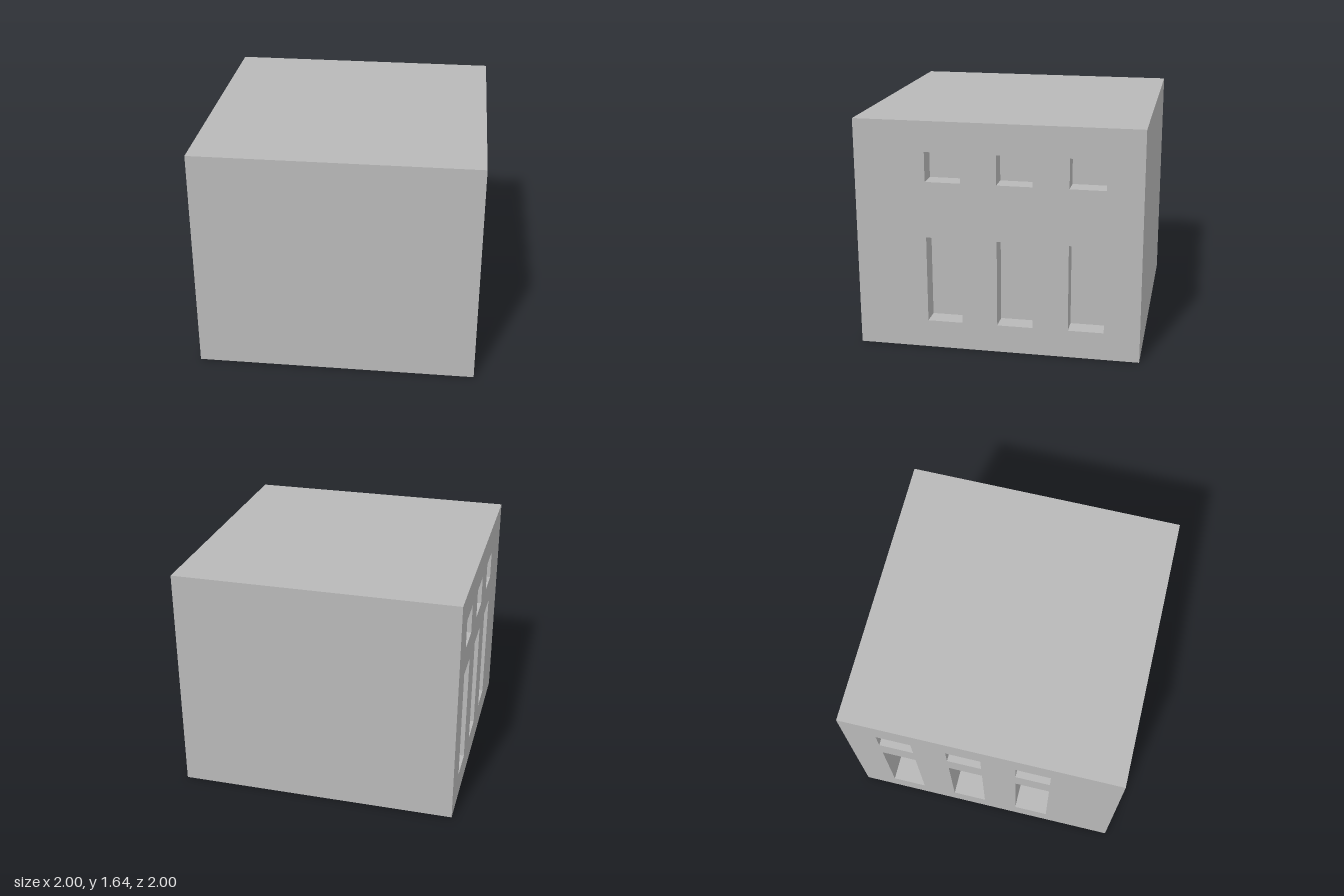
import * as THREE from 'three';

const H = 1.645;                                   // building height
const BAYS = [[0.25, 0.5], [-0.25, 0], [-0.75, -0.5]]; // z spans of the window columns

export function createModel() {
  const grey = new THREE.MeshStandardMaterial({ color: 0xb8b8b8, side: THREE.DoubleSide });
  grey.name = 'plain grey';
  const model = new THREE.Group();
  model.name = 'building';

  function plane(name, w, h, pos, rot, parent = model) {
    const mesh = new THREE.Mesh(new THREE.PlaneGeometry(w, h), grey);
    mesh.name = name;
    mesh.position.set(...pos);
    mesh.rotation.set(...rot);
    parent.add(mesh);
  }

  // Thin shell, open underneath
  plane('frontWall', 2, H, [0, H / 2, 1], [0, 0, 0]);
  plane('backWall', 2, H, [0, H / 2, -1], [0, Math.PI, 0]);
  plane('roof', 2, 2, [0, H, 0], [-Math.PI / 2, 0, 0]);

  // Side wall with holes, each leading into a closed niche
  function sideWall(name, side, depth, rows) {
    const wall = new THREE.Group();
    wall.name = name;
    // Local x runs along the wall, local z points outwards
    wall.position.x = side;
    wall.rotation.y = side * Math.PI / 2;
    const shape = new THREE.Shape([[-1, 0], [1, 0], [1, H], [-1, H]].map(p => new THREE.Vector2(...p)));
    for (const [z0, z1] of BAYS) {
      for (const [y0, y1] of rows) {
        const a = Math.min(-side * z0, -side * z1), b = Math.max(-side * z0, -side * z1);
        shape.holes.push(new THREE.Path([[a, y0], [a, y1], [b, y1], [b, y0]].map(p => new THREE.Vector2(...p))));
        const niche = new THREE.Group();
        niche.name = 'windowNiche';
        const w = b - a, h = y1 - y0, x = (a + b) / 2, y = (y0 + y1) / 2;
        plane('nicheBack', w, h, [x, y, -depth], [0, 0, 0], niche);
        plane('nicheSill', w, depth, [x, y0, -depth / 2], [-Math.PI / 2, 0, 0], niche);
        plane('nicheHead', w, depth, [x, y1, -depth / 2], [Math.PI / 2, 0, 0], niche);
        plane('nicheReveal', depth, h, [a, y, -depth / 2], [0, Math.PI / 2, 0], niche);
        plane('nicheReveal', depth, h, [b, y, -depth / 2], [0, -Math.PI / 2, 0], niche);
        wall.add(niche);
      }
    }
    const face = new THREE.Mesh(new THREE.ShapeGeometry(shape), grey);
    face.name = name + 'Face';
    wall.add(face);
    model.add(wall);
  }

  sideWall('rightWall', 1, 0.135, [[0.2, 0.82], [1.22, 1.43]]);
  sideWall('leftWall', -1, 0.265, [[0.2, 1.02], [1.22, 1.43]]);
  return model;
}
